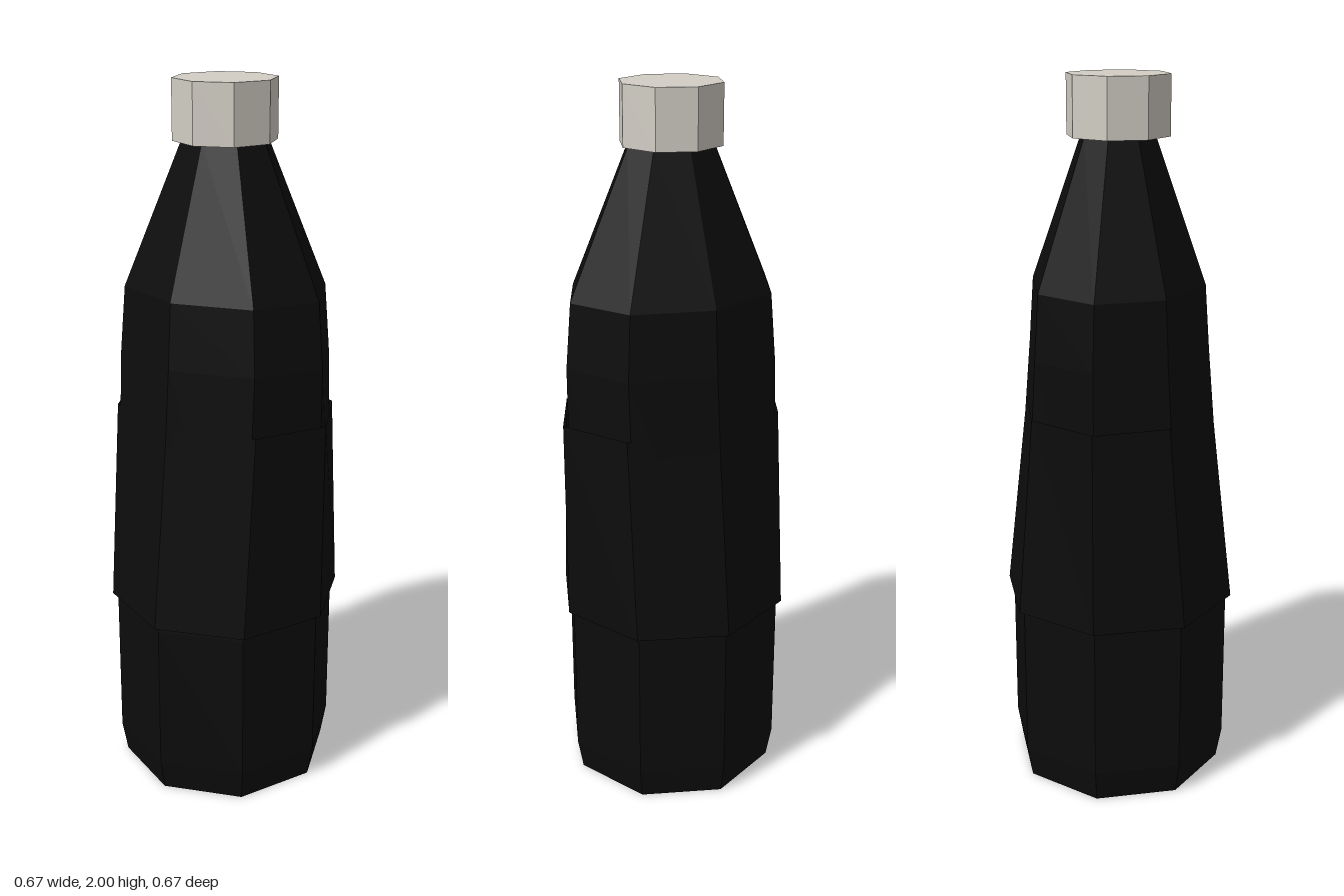
import * as THREE from 'three';

const SIDES = 8;

// Lathe whose rings are [radius, y, x scale]; faceted normals
function facetedLathe(rings) {
  const points = rings.map(([r, y]) => new THREE.Vector2(r, y));
  const lathe = new THREE.LatheGeometry(points, SIDES);
  const pos = lathe.attributes.position;
  for (let i = 0; i < pos.count; i++) {
    pos.setX(i, pos.getX(i) * rings[i % rings.length][2]);
  }
  const geometry = lathe.toNonIndexed();
  geometry.computeVertexNormals();
  return geometry;
}

export function createModel() {
  const black = new THREE.MeshStandardMaterial({ color: 0x0c0c0c });
  black.name = 'black glass';
  const blackSleeve = new THREE.MeshStandardMaterial({ color: 0x0c0c0c, side: THREE.DoubleSide });
  blackSleeve.name = 'black label';
  const pale = new THREE.MeshStandardMaterial({ color: 0xd2cec5 });
  pale.name = 'pale cap';

  const group = new THREE.Group();
  group.name = 'bottle';
  const add = (name, geometry, material) => {
    const mesh = new THREE.Mesh(geometry, material);
    mesh.name = name;
    group.add(mesh);
  };

  // Bottle body: round at the base, narrowed across x above the waist
  add('body', facetedLathe([
    [0, 0, 1],
    [0.302, 0, 1],
    [0.318, 0.09, 1],
    [0.318, 0.52, 1],
    [0.318, 1.27, 0.8],
    [0.302, 1.45, 0.8],
    [0.128, 1.84, 0.8],
    [0, 1.84, 0.8],
  ]), black);

  // Open label sleeve standing slightly off the body
  add('label', facetedLathe([
    [0.333, 0.535, 1],
    [0.333, 1.11, 0.8],
  ]), blackSleeve);

  // Octagonal screw cap
  add('cap', facetedLathe([
    [0, 1.84, 1],
    [0.141, 1.84, 1],
    [0.141, 2, 1],
    [0, 2, 1],
  ]), pale);

  return group;
}
